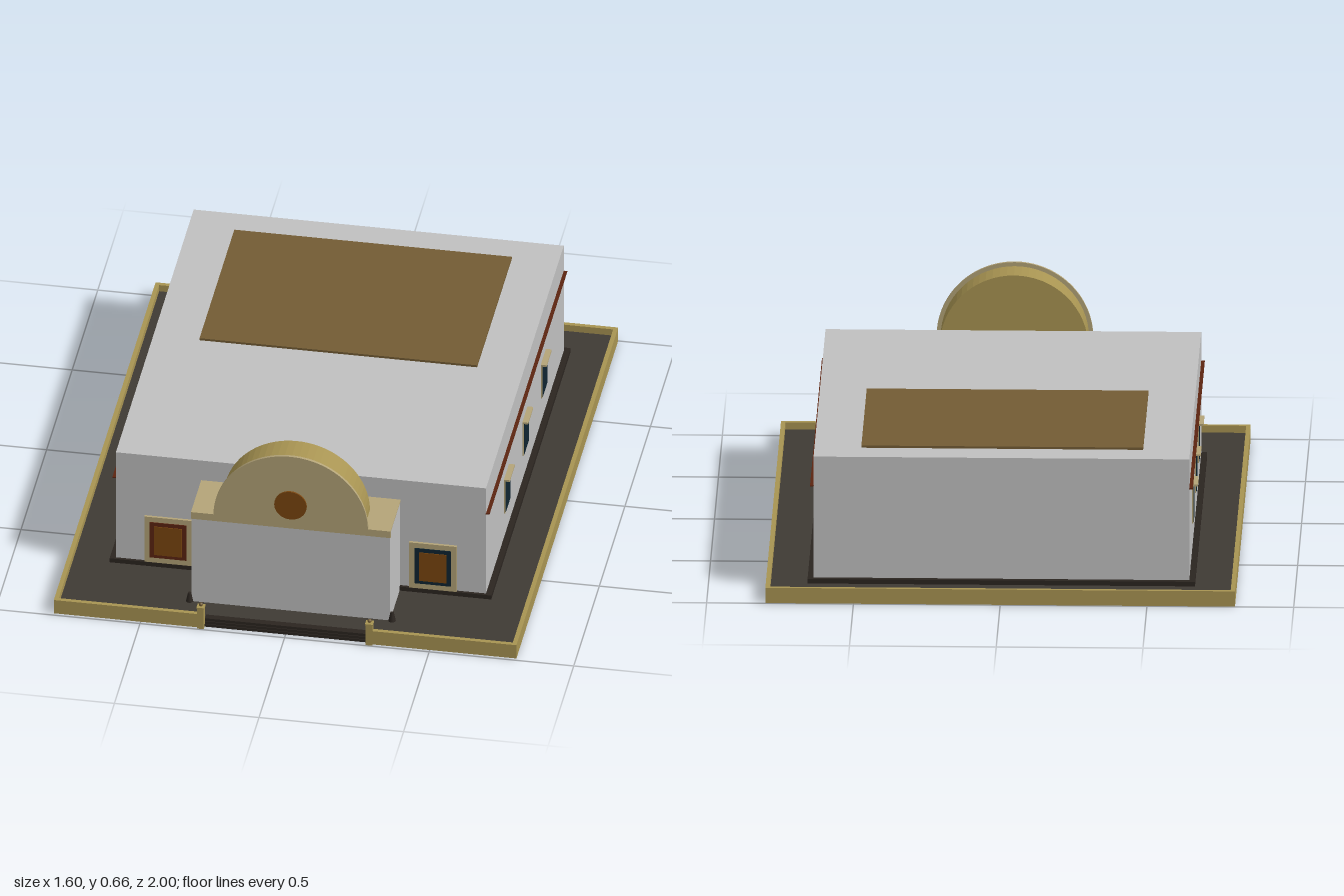
import * as THREE from 'three';

const mat = (name, color) => {
  const m = new THREE.MeshStandardMaterial({ color });
  m.name = name;
  return m;
};

export function createModel() {
  const wall = mat('wall grey', 0xc0c0c0);
  const tan = mat('pale tan', 0xb4a478);
  const gold = mat('sandstone gold', 0xa89452);
  const floor = mat('dark paving', 0x3f3a34);
  const stepDark = mat('dark step', 0x2b2520);
  const bronze = mat('roof bronze', 0x735c34);
  const brown = mat('wood brown', 0x7a460e);
  const red = mat('dark red', 0x5c2410);
  const navy = mat('dark navy', 0x0e2431);

  const model = new THREE.Group();
  model.name = 'building';
  const add = (name, geometry, material, x = 0, y = 0, z = 0) => {
    const m = new THREE.Mesh(geometry, material);
    m.name = name;
    m.position.set(x, y, z);
    model.add(m);
    return m;
  };
  // Box given by its limits on each axis
  const box = (name, material, x0, x1, y0, y1, z0, z1) =>
    add(name, new THREE.BoxGeometry(x1 - x0, y1 - y0, z1 - z0), material,
      (x0 + x1) / 2, (y0 + y1) / 2, (z0 + z1) / 2);
  // Half disc standing on y, extruded from z0 to z1
  const halfDisc = (name, material, r, segments, y, z0, z1) => {
    const shape = new THREE.Shape();
    shape.absarc(0, 0, r, 0, Math.PI, false);
    const geometry = new THREE.ExtrudeGeometry(shape,
      { depth: z1 - z0, bevelEnabled: false, curveSegments: segments });
    return add(name, geometry, material, 0, y, z0);
  };

  // Courtyard floor, low boundary wall and front steps
  box('courtyardFloor', floor, -0.787, 0.787, 0, 0.03, -0.987, 0.95);
  box('backBoundary', gold, -0.8, 0.8, 0.001, 0.055, -1, -0.985);
  for (const s of [-1, 1]) {
    const side = (name, m, a, b, ...rest) =>
      box(name, m, Math.min(s * a, s * b), Math.max(s * a, s * b), ...rest);
    side('sideBoundary', gold, 0.785, 0.8, 0.001, 0.055, -0.985, 0.99);
    side('frontBoundary', gold, 0.29, 0.785, 0.001, 0.055, 0.975, 0.99);
    side('floorEdge', floor, 0.28, 0.786, 0, 0.03, 0.95, 0.976);

    // Gate post with a small finial
    side('gatePost', gold, 0.28, 0.303, 0.001, 0.083, 0.975, 0.998);
    add('postCap', new THREE.BoxGeometry(0.027, 0.005, 0.027), gold, s * 0.2915, 0.085, 0.9865);
    add('postFinial', new THREE.SphereGeometry(0.007, 10, 8), bronze, s * 0.2915, 0.094, 0.9865);

    // Ground lamp beside the portico
    add('groundLamp', new THREE.CylinderGeometry(0.006, 0.013, 0.034, 10), stepDark, s * 0.35, 0.047, 0.877);

    // Thin ledge along the side wall
    side('sideLedge', red, 0.639, 0.652, 0.369, 0.373, -0.84, 0.68);

    // Three side windows with frame, pane and lintel
    for (const z of [0.28, -0.08, -0.44]) {
      side('windowFrame', tan, 0.638, 0.644, 0.143, 0.28, z - 0.047, z + 0.047);
      side('windowPane', navy, 0.64, 0.646, 0.147, 0.274, z - 0.043, z + 0.043);
      side('windowLintel', tan, 0.638, 0.66, 0.275, 0.282, z - 0.05, z + 0.05);
    }

    // Front door: surround, coloured border and wooden leaf
    side('doorSurround', tan, 0.375, 0.54, 0.03, 0.23, 0.678, 0.689);
    side('doorBorder', s < 0 ? red : navy, 0.394, 0.521, 0.067, 0.21, 0.686, 0.6915);
    side('doorLeaf', brown, 0.41, 0.505, 0.08, 0.195, 0.688, 0.694);
  }
  for (let i = 0; i < 3; i++)
    box('frontStep', stepDark, -0.28, 0.28, i * 0.01, (i + 1) * 0.01, 0.949, 0.98 - i * 0.003);

  // Main hall on its plinth
  box('plinth', stepDark, -0.66, 0.66, 0.029, 0.046, -0.86, 0.69);
  box('mainHall', wall, -0.64, 0.64, 0.03, 0.475, -0.84, 0.68);
  box('roofPanel', bronze, -0.48, 0.48, 0.474, 0.483, -0.73, -0.05);

  // Entrance portico with capping and front band
  box('portico', wall, -0.343, 0.343, 0.03, 0.391, 0.67, 0.877);
  box('porticoCap', tan, -0.345, 0.345, 0.39, 0.395, 0.68, 0.88);
  box('porticoBand', tan, -0.345, 0.345, 0.368, 0.395, 0.874, 0.88);

  // Half-round gable with a round window
  halfDisc('gableDrum', gold, 0.253, 16, 0.394, 0.76, 0.872);
  halfDisc('gableFace', tan, 0.267, 32, 0.394, 0.871, 0.881);
  const rose = add('roundWindow', new THREE.CylinderGeometry(0.056, 0.056, 0.008, 32), brown, 0, 0.465, 0.883);
  rose.rotation.x = Math.PI / 2;

  return model;
}
